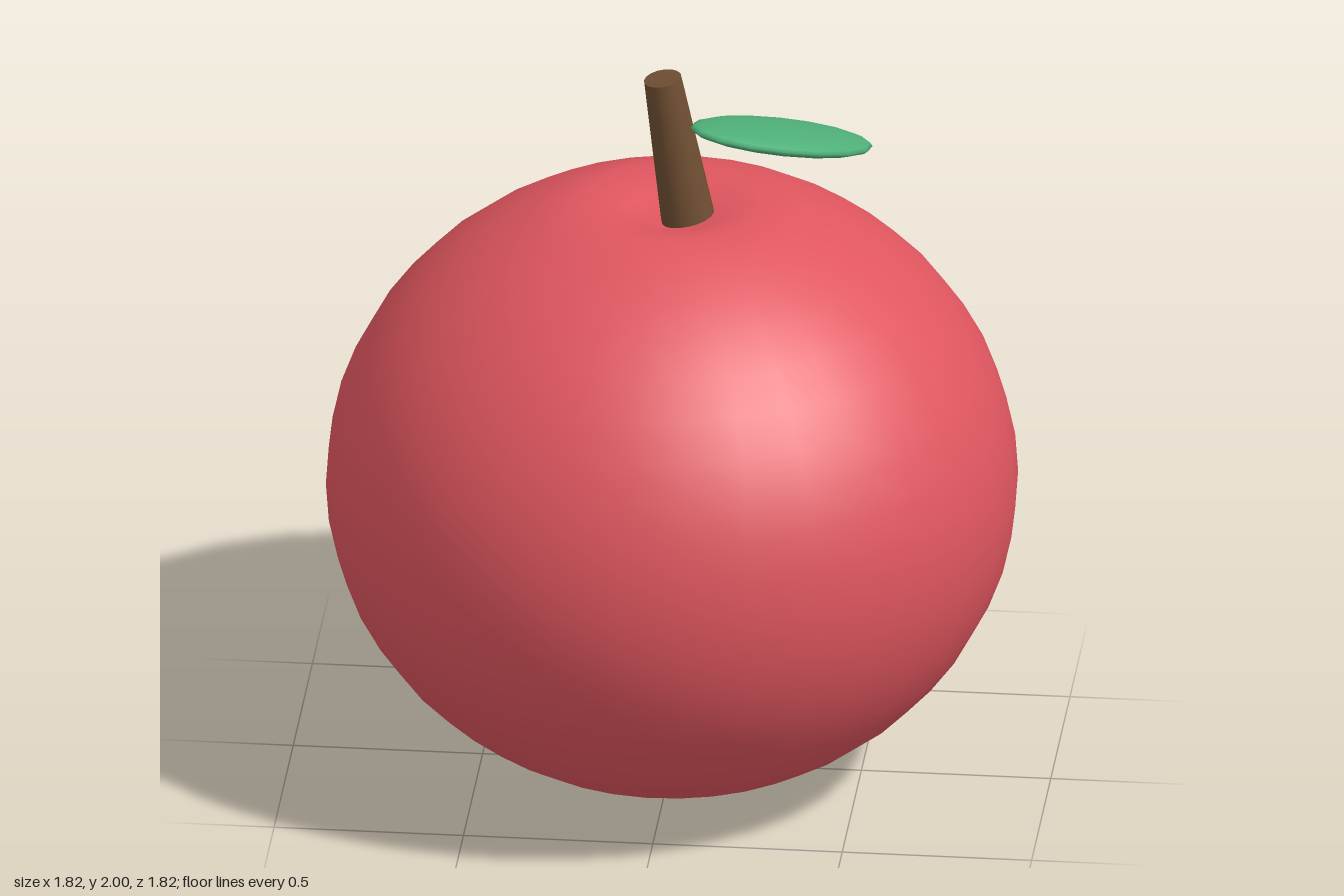
import * as THREE from 'three';
import { mergeVertices } from 'three/addons/utils/BufferGeometryUtils.js';

const red = new THREE.MeshStandardMaterial({ name: 'appleRed', color: 0xe0565f });
const brown = new THREE.MeshStandardMaterial({ name: 'stemBrown', color: 0x6f4e32 });
const green = new THREE.MeshStandardMaterial({ name: 'leafGreen', color: 0x4fb07a });

function addMesh(group, name, geometry, material) {
  const mesh = new THREE.Mesh(geometry, material);
  mesh.name = name;
  group.add(mesh);
  return mesh;
}

// Slightly squashed sphere with a shallow dimple pressed into the top
function fruitGeometry() {
  const dimpleRadius = 0.235, dimpleDepth = 0.1;
  let geo = new THREE.SphereGeometry(1, 32, 24);
  geo.scale(0.91, 0.83, 0.91);
  const p = geo.attributes.position;
  for (let i = 0; i < p.count; i++) {
    const r = Math.hypot(p.getX(i), p.getZ(i));
    if (p.getY(i) > 0 && r < dimpleRadius) {
      p.setY(i, p.getY(i) - dimpleDepth * (1 - r / dimpleRadius));
    }
  }
  geo.deleteAttribute('uv');
  geo.deleteAttribute('normal');
  geo = mergeVertices(geo);
  geo.computeVertexNormals();
  return geo;
}

export function createModel() {
  const model = new THREE.Group();
  model.name = 'apple';

  const fruit = addMesh(model, 'fruit', fruitGeometry(), red);
  fruit.position.y = 0.83;
  fruit.rotation.y = 0.34;

  // Tapered stem leaning out of the dimple
  const base = new THREE.Vector3(0.047, 1.54, -0.02);
  const tip = new THREE.Vector3(-0.024, 1.992, 0.006);
  const axis = tip.clone().sub(base);
  const stem = addMesh(model, 'stem', new THREE.CylinderGeometry(0.05, 0.074, axis.length(), 16), brown);
  stem.position.copy(base).add(tip).multiplyScalar(0.5);
  stem.quaternion.setFromUnitVectors(new THREE.Vector3(0, 1, 0), axis.normalize());

  // Flat oval leaf sloping down and away from the stem
  const leafGeo = new THREE.SphereGeometry(1, 16, 12);
  leafGeo.scale(0.316, 0.032, 0.152);
  const leaf = addMesh(model, 'leaf', leafGeo, green);
  leaf.position.set(0.283, 1.807, -0.057);
  leaf.rotation.set(0, 0.86, -0.34, 'YXZ');

  return model;
}
